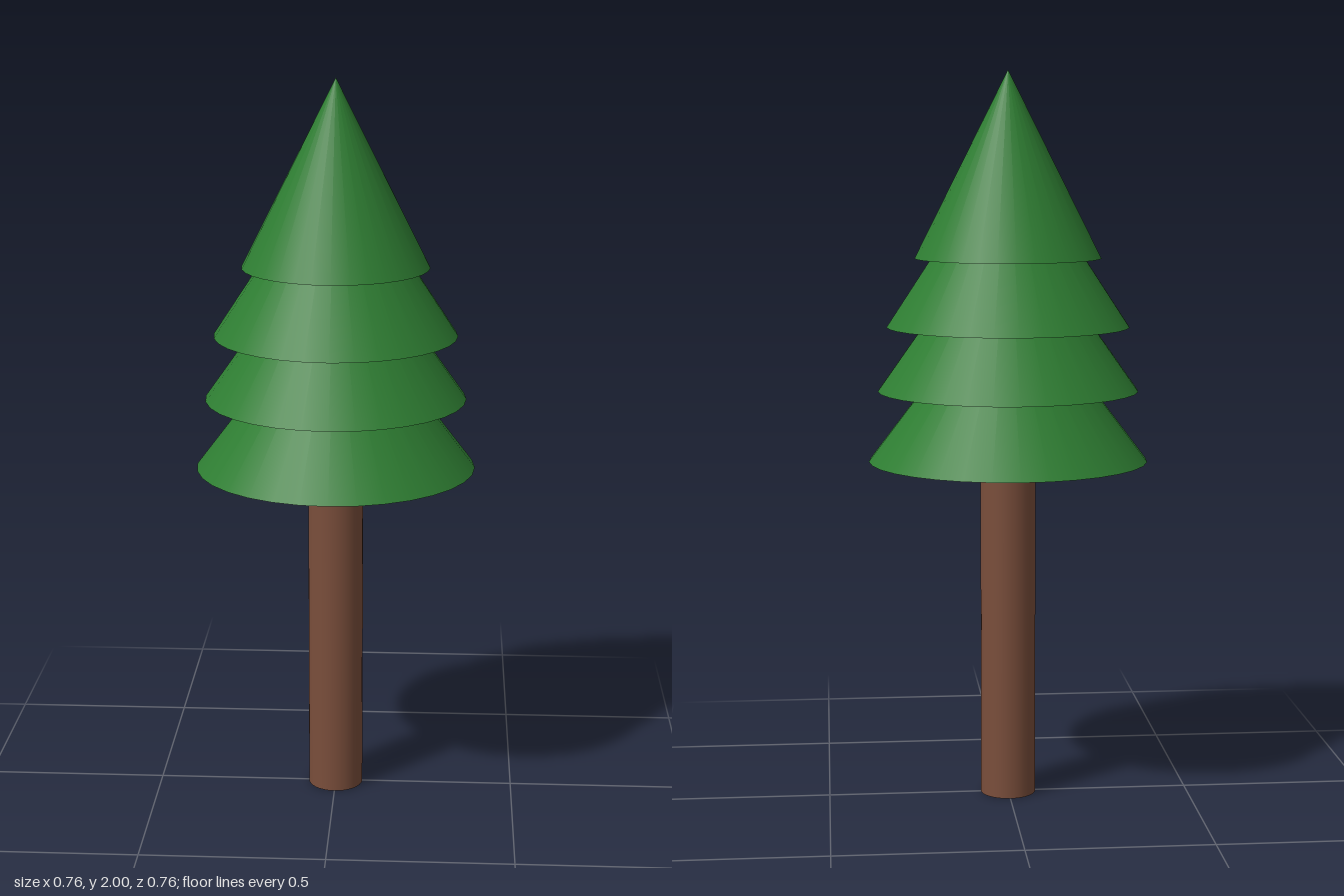
import * as THREE from 'three';

export function createModel() {
  const tree = new THREE.Group();
  tree.name = 'pineTree';

  const foliage = new THREE.MeshStandardMaterial({ color: 0x2e7d32 });
  foliage.name = 'foliage green';
  const bark = new THREE.MeshStandardMaterial({ color: 0x7a4e3b });
  bark.name = 'bark brown';

  // Trunk, from the ground to the underside of the lowest tier
  const trunkHeight = 0.95;
  const trunk = new THREE.Mesh(new THREE.CylinderGeometry(0.076, 0.076, trunkHeight, 32), bark);
  trunk.name = 'trunk';
  trunk.position.y = trunkHeight / 2;
  tree.add(trunk);

  // Overlapping foliage cones, lowest first: [base height, radius]
  const tierHeight = 0.504;
  const tiers = [[0.942, 0.382], [1.135, 0.356], [1.31, 0.331], [1.496, 0.254]];
  tiers.forEach(([base, radius], i) => {
    const cone = new THREE.Mesh(new THREE.ConeGeometry(radius, tierHeight, 32), foliage);
    cone.name = `foliageTier${i + 1}`;
    cone.position.y = base + tierHeight / 2;
    tree.add(cone);
  });

  return tree;
}
